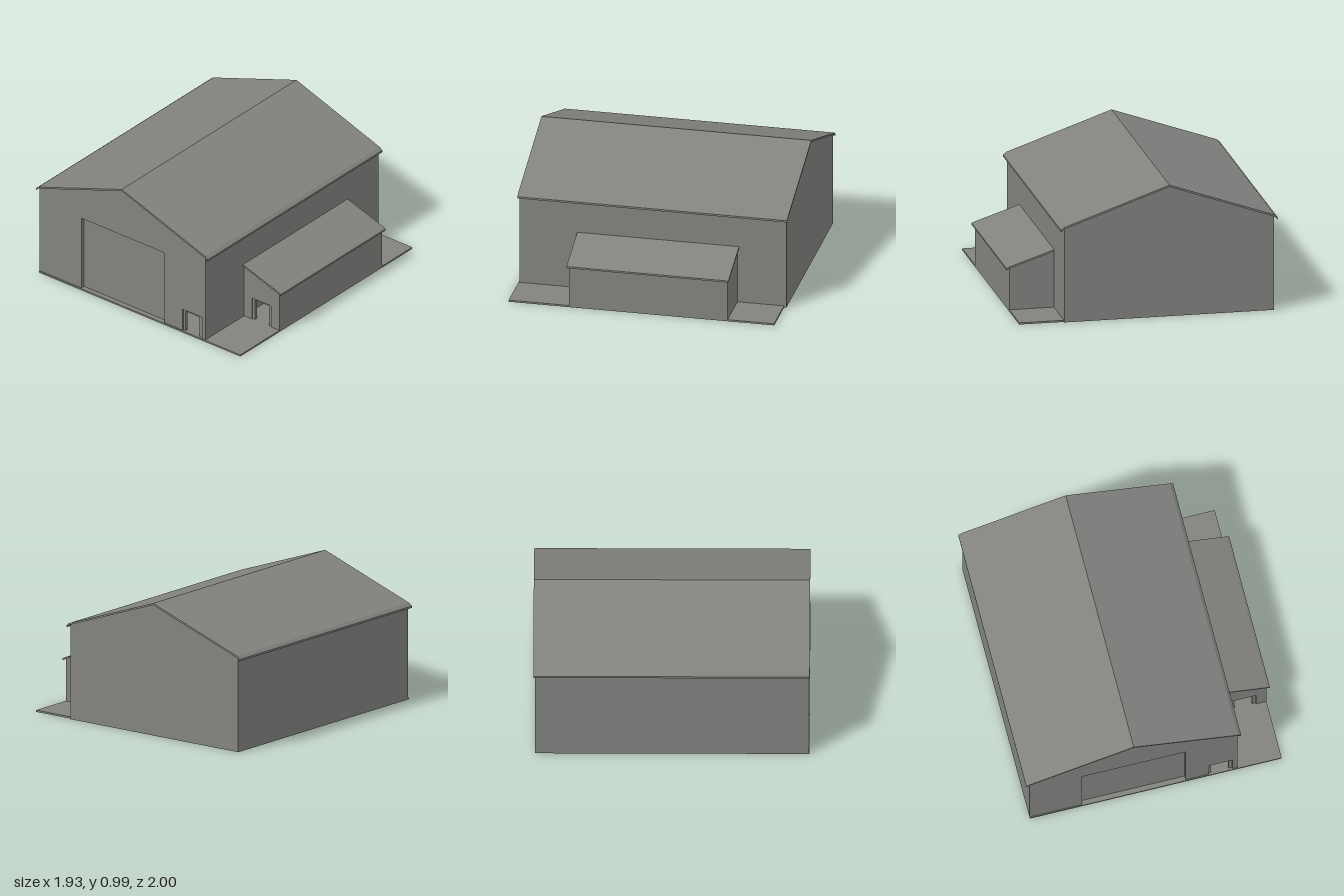
import * as THREE from 'three';

export function createModel() {
  const model = new THREE.Group();
  model.name = 'warehouse';
  const grey = new THREE.MeshStandardMaterial({ color: 0x82827f });
  grey.name = 'concrete grey';

  function add(parent, name, geometry) {
    const mesh = new THREE.Mesh(geometry, grey);
    mesh.name = name;
    parent.add(mesh);
    return mesh;
  }
  // Box given by its limits on each axis
  function box(parent, name, x0, x1, y0, y1, z0, z1) {
    const mesh = add(parent, name, new THREE.BoxGeometry(x1 - x0, y1 - y0, z1 - z0));
    mesh.position.set((x0 + x1) / 2, (y0 + y1) / 2, (z0 + z1) / 2);
  }
  // Outline in x and y, drawn out from z0 to z1
  function prism(parent, name, points, z0, z1) {
    const shape = new THREE.Shape(points.map(([x, y]) => new THREE.Vector2(x, y)));
    const geometry = new THREE.ExtrudeGeometry(shape, { depth: z1 - z0, bevelEnabled: false });
    geometry.translate(0, 0, z0);
    add(parent, name, geometry);
  }
  // Doorway cut into the bottom edge of a wall outline
  const notch = (x0, x1, top) => [[x0, BASE], [x0, top], [x1, top], [x1, BASE]];
  // Roof sheet of even thickness from its top profile
  function roof(parent, name, profile, thickness, z0, z1) {
    const under = profile.map(([x, y]) => [x, y - thickness]).reverse();
    prism(parent, name, [...profile, ...under], z0, z1);
  }
  // Frame set back inside its doorway
  function doorFrame(parent, x0, x1, top, in0, in1, inTop, z) {
    prism(parent, 'doorFrame', [
      [x0, BASE], [in0, BASE], [in0, inTop], [in1, inTop],
      [in1, BASE], [x1, BASE], [x1, top], [x0, top],
    ], z - 0.03, z - 0.01);
  }

  const BASE = 0.001;
  const T = 0.03;

  // Ground slab
  box(model, 'floorSlab', -0.94, 0.94, 0, 0.013, -0.97, 0.998);

  // Main hall
  const hall = new THREE.Group();
  hall.name = 'mainHall';
  model.add(hall);
  const L = -0.94, R = 0.61, MID = -0.165, EAVE = 0.71, RIDGE = 0.98;
  const gable = [[R, BASE], [R, EAVE], [MID, RIDGE], [L, EAVE]];
  prism(hall, 'frontWall', [
    [L, BASE], ...notch(-0.55, 0.225, 0.6), ...notch(0.395, 0.575, 0.19), ...gable,
  ], 0.99 - T, 0.99);
  prism(hall, 'backWall', [[L, BASE], ...gable], -0.987, -0.987 + T);
  box(hall, 'leftWall', R - T, R, BASE, EAVE, -0.987 + T, 0.99 - T);
  box(hall, 'rightWall', L, L + T, BASE, EAVE, -0.987 + T, 0.99 - T);
  box(hall, 'largeDoor', -0.56, 0.235, BASE, 0.61, 0.945, 0.96);
  doorFrame(hall, 0.395, 0.575, 0.19, 0.415, 0.547, 0.175, 0.99);
  roof(hall, 'mainRoof', [
    [-0.967, 0.7], [-0.943, 0.72], [MID, 0.992], [0.613, 0.72], [0.637, 0.7],
  ], 0.014, -1, 1);

  // Side annex with a single-pitch roof
  const annex = new THREE.Group();
  annex.name = 'sideAnnex';
  model.add(annex);
  const end = [[0.94, BASE], [0.94, 0.33], [R, 0.437]];
  prism(annex, 'annexFrontWall', [[R, BASE], ...notch(0.682, 0.862, 0.19), ...end], 0.55 - T, 0.55);
  prism(annex, 'annexBackWall', [[R, BASE], ...end], -0.625, -0.625 + T);
  box(annex, 'annexSideWall', 0.94 - T, 0.94, BASE, 0.33, -0.625 + T, 0.55 - T);
  doorFrame(annex, 0.682, 0.862, 0.19, 0.705, 0.834, 0.175, 0.55);
  roof(annex, 'annexRoof', [[R, 0.449], [0.945, 0.339], [0.963, 0.329]], 0.013, -0.637, 0.563);

  return model;
}
